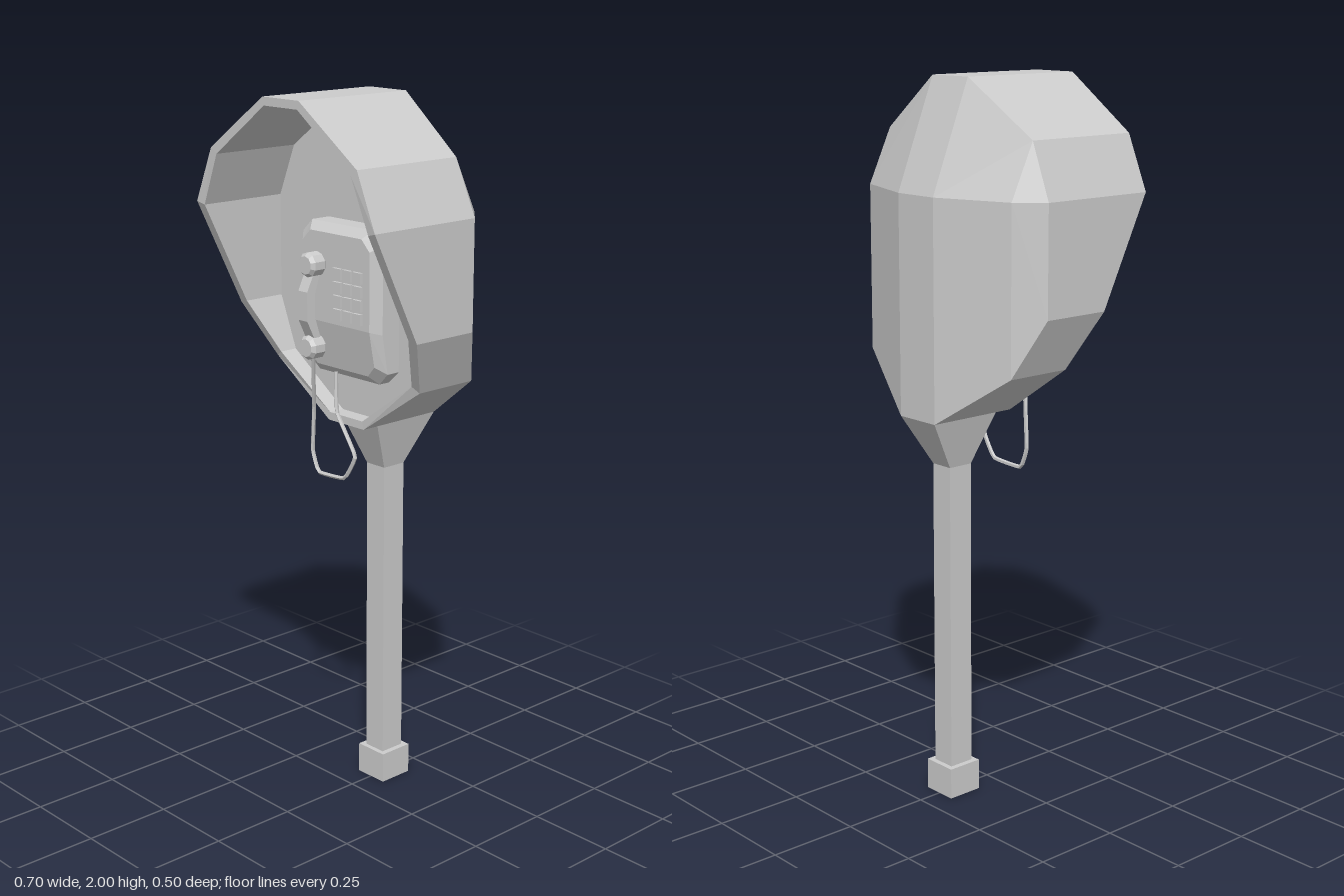
import * as THREE from 'three';

const grey = new THREE.MeshStandardMaterial({ color: 0xcccccc, flatShading: true });

function add(parent, name, geometry, x = 0, y = 0, z = 0) {
  const mesh = new THREE.Mesh(geometry, grey);
  mesh.name = name;
  mesh.position.set(x, y, z);
  parent.add(mesh);
  return mesh;
}

// Flat-shaded geometry from convex polygons of [x, y, z] corners
function fromPolygons(polygons) {
  const pos = [];
  for (const p of polygons)
    for (let i = 1; i < p.length - 1; i++) pos.push(...p[0], ...p[i], ...p[i + 1]);
  const g = new THREE.BufferGeometry();
  g.setAttribute('position', new THREE.Float32BufferAttribute(pos, 3));
  g.computeVertexNormals();
  return g;
}

const flip = ([x, y, z]) => [-x, y, z];
const mirrorRing = (half) => [...half, ...half.map(flip).reverse()];
const mirrorFace = (face) => face.map(flip).reverse();

// Quads joining each ring to the next
function loft(rings) {
  const faces = [];
  for (let r = 0; r < rings.length - 1; r++) {
    const a = rings[r], b = rings[r + 1];
    a.forEach((p, i) => {
      const j = (i + 1) % a.length;
      faces.push([p, a[j], b[j], b[i]]);
    });
  }
  return faces;
}

// Hood: faceted shell with a slanted opening, a flat rim and an inner panel
function hoodGeometry() {
  const half = [
    [0.07, 1.10, -0.248], [0.285, 1.245, -0.172], [0.35, 1.40, -0.105],
    [0.35, 1.70, -0.105], [0.285, 1.85, -0.10], [0.07, 2.0, -0.128],
  ];
  const frontZ = (y) => 0.022 + 0.225 * THREE.MathUtils.clamp((y - 1.245) / 0.455, 0, 1);
  const back = mirrorRing(half);
  const front = back.map(([x, y]) => [x, y, frontZ(y)]);
  const inner = back.map(([x, y]) => {
    const yi = 1.55 + (y - 1.55) * 0.95;
    return [x * 0.92, yi, frontZ(yi)];
  });
  const panel = inner.map(([x, y]) => [x, y, -0.025]);

  // Rear facets, right half then mirrored
  const [b0, b1, b2, b3, b4, b5] = half;
  const k1 = [0.285, 1.70, -0.172], k2 = [0.07, 1.70, -0.248];
  const rear = [[b4, b3, k1], [b3, b2, b1, k1], [b5, b4, k1, k2], [k2, k1, b1, b0]];
  return fromPolygons([
    ...loft([back, front, inner, panel]), panel,
    ...rear, ...rear.map(mirrorFace),
    [flip(b5), b5, k2, flip(k2)], [flip(k2), k2, b0, flip(b0)],
  ]);
}

// Phone body: chamfered box whose lower front leans back
function bodyGeometry() {
  const back = mirrorRing([
    [0.12, 1.235, -0.025], [0.157, 1.27, -0.025], [0.157, 1.38, -0.025],
    [0.157, 1.62, -0.025], [0.12, 1.655, -0.025],
  ]);
  const inset = back.map(([x, y]) => {
    const yi = 1.445 + (y - 1.445) * 0.89;
    return [x * 0.84, yi, 0.06 - 0.025 * THREE.MathUtils.clamp((1.387 - yi) / 0.13, 0, 1)];
  });
  const side = back.map(([x, y], i) => [x, y, inset[i][2] - 0.025]);
  const pick = (...ids) => ids.map((i) => inset[i]);
  return fromPolygons([
    ...loft([back, side, inset]),
    pick(2, 3, 4, 5, 6, 7), pick(0, 1, 2, 7, 8, 9),
  ]);
}

// Neck: box tapering from the hood down to the post
function neckGeometry() {
  const rect = (w, y, z0, z1) => [[-w, y, z1], [w, y, z1], [w, y, z0], [-w, y, z0]];
  const low = rect(0.035, 0.96, -0.165, -0.09);
  const high = rect(0.07, 1.10, -0.248, -0.03);
  return fromPolygons([...loft([low, high]), high, [...low].reverse()]);
}

function createHandset() {
  const handset = new THREE.Group();
  handset.name = 'handset';
  // Bowed grip
  const grip = new THREE.Shape([
    [0.065, 1.33], [0.085, 1.33], [0.117, 1.395], [0.117, 1.475],
    [0.085, 1.54], [0.065, 1.54], [0.09, 1.465], [0.09, 1.405],
  ].map(([z, y]) => new THREE.Vector2(z, y)));
  const g = new THREE.ExtrudeGeometry(grip, { depth: 0.036, bevelEnabled: false });
  add(handset, 'grip', g, -0.05).rotation.y = -Math.PI / 2;
  // Ear and mouth cups
  const cup = new THREE.LatheGeometry([
    [0, 0], [0.027, 0], [0.034, 0.008], [0.034, 0.042], [0.025, 0.052], [0, 0.052],
  ].map(([r, h]) => new THREE.Vector2(r, h)), 10);
  for (const [name, y] of [['earCup', 1.545], ['mouthCup', 1.318]])
    add(handset, name, cup, -0.068, y, 0.057).rotation.x = Math.PI / 2;
  return handset;
}

export function createModel() {
  const model = new THREE.Group();
  model.name = 'payPhone';

  // Stand
  add(model, 'base', new THREE.BoxGeometry(0.102, 0.088, 0.104), 0, 0.044, -0.128);
  add(model, 'post', new THREE.BoxGeometry(0.07, 0.88, 0.075), 0, 0.525, -0.1275);
  add(model, 'neck', neckGeometry());
  add(model, 'hood', hoodGeometry());

  // Phone with keypad
  add(model, 'phoneBody', bodyGeometry());
  const key = new THREE.BoxGeometry(0.032, 0.03, 0.012);
  const keypad = new THREE.Group();
  keypad.name = 'keypad';
  for (let row = 0; row < 4; row++)
    for (let col = 0; col < 3; col++)
      add(keypad, 'key', key, 0.012 + col * 0.039, 1.528 - row * 0.037, 0.063);
  model.add(keypad, createHandset());

  // Hanging cord
  const path = new THREE.CatmullRomCurve3([
    [-0.07, 1.29, 0.08], [-0.115, 1.13, 0.038], [-0.13, 1.0, 0.03], [-0.105, 0.942, 0.03],
    [0.002, 0.948, 0.03], [0.045, 1.02, 0.03], [-0.028, 1.13, 0.03], [-0.038, 1.245, 0.025],
  ].map((p) => new THREE.Vector3(...p)), false, 'catmullrom', 0.15);
  add(model, 'cord', new THREE.TubeGeometry(path, 48, 0.006, 5));

  return model;
}
